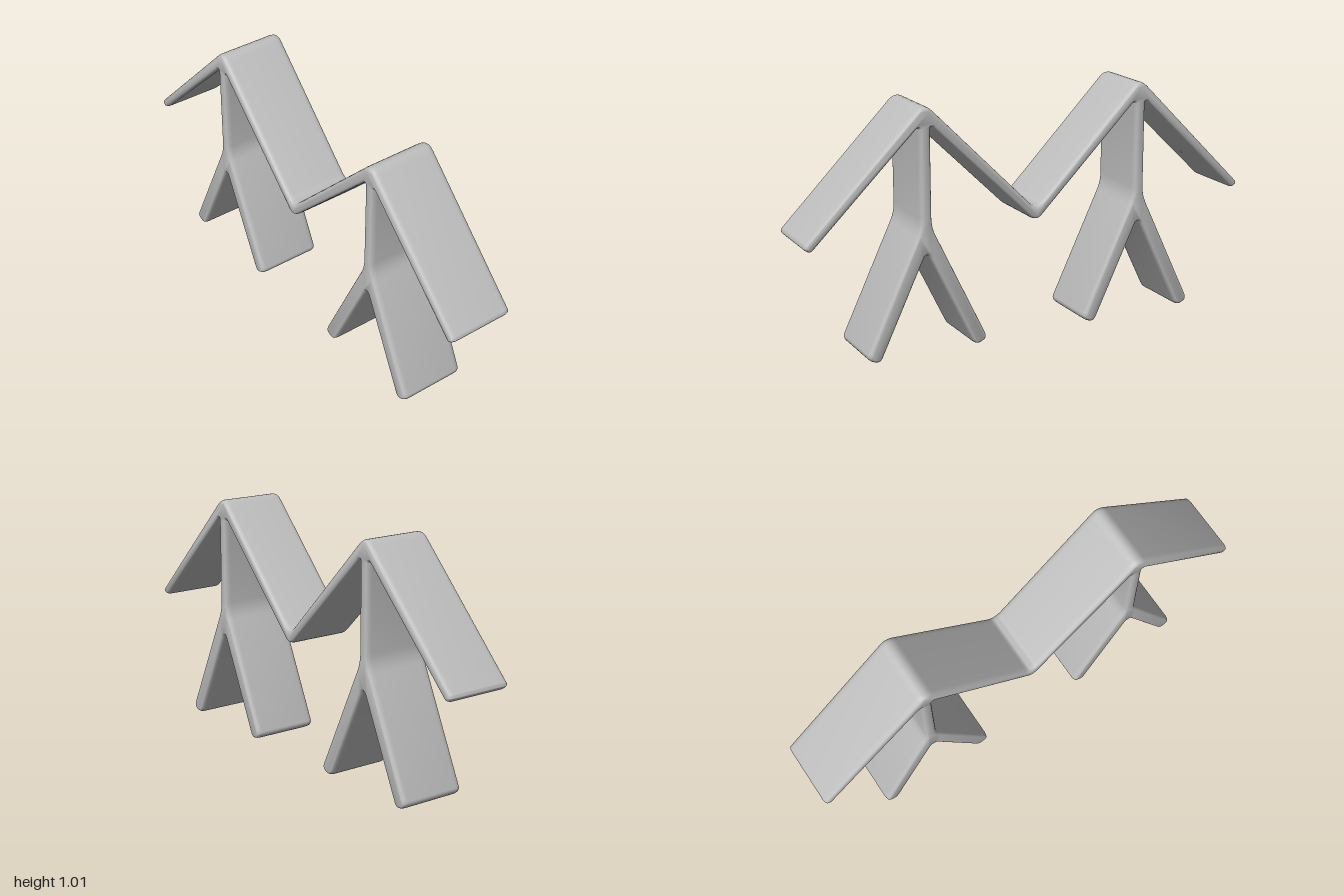
import * as THREE from 'three';
import { toCreasedNormals } from 'three/addons/utils/BufferGeometryUtils.js';

// Closed shape whose corners [x, y, r] are softened over a length r
function roundedShape(points) {
  const shape = new THREE.Shape();
  const n = points.length;
  points.forEach(([x, y, r], i) => {
    const corner = new THREE.Vector2(x, y);
    const toward = ([px, py]) =>
      new THREE.Vector2(px, py).sub(corner).setLength(r).add(corner);
    const start = toward(points[(i + n - 1) % n]);
    const end = toward(points[(i + 1) % n]);
    if (i === 0) shape.moveTo(start.x, start.y);
    else shape.lineTo(start.x, start.y);
    shape.quadraticCurveTo(x, y, end.x, end.y);
  });
  shape.closePath();
  return shape;
}

export function createModel() {
  const group = new THREE.Group();
  group.name = 'zigzagStand';
  const grey = new THREE.MeshStandardMaterial({ color: 0xbebebe });
  grey.name = 'light grey';

  const mid = 0.49; // centre line of each post
  // Inner side of a post: under the arm, down the post and round the foot
  const postSide = [
    [0.466, 0.94, 0.018],
    [0.466, 0.53, 0.04],
    [0.222, 0.022, 0.03],
    [0.28, -0.004, 0.03],
  ];
  const mirrored = (pts, centre) => pts.map(([x, y, r]) => [2 * centre - x, y, r]).reverse();

  // One half, anticlockwise from the valley to the outer arm tip and back
  const half = [
    ...postSide,
    [mid, 0.432, 0.035],
    ...mirrored(postSide, mid),
    [0.973, 0.497, 0.018],
    [1.003, 0.521, 0.018],
    [mid, 1.032, 0.05],
  ];
  const outline = [
    [0, 0.483, 0.04],
    ...half,
    [0, 0.54, 0.04],
    ...mirrored(half, 0),
  ];

  // Constant profile across the depth, with soft front and back rims
  const depth = 0.287, rim = 0.025, inset = 0.012;
  const geometry = new THREE.ExtrudeGeometry(roundedShape(outline), {
    depth: depth - 2 * rim,
    curveSegments: 6,
    bevelEnabled: true,
    bevelThickness: rim,
    bevelSize: inset,
    bevelOffset: -inset,
    bevelSegments: 4,
  });
  geometry.translate(0, 0, rim - depth / 2);

  const frame = new THREE.Mesh(toCreasedNormals(geometry, 0.7), grey);
  frame.name = 'foldedRoofAndForkedPosts';
  group.add(frame);
  return group;
}
